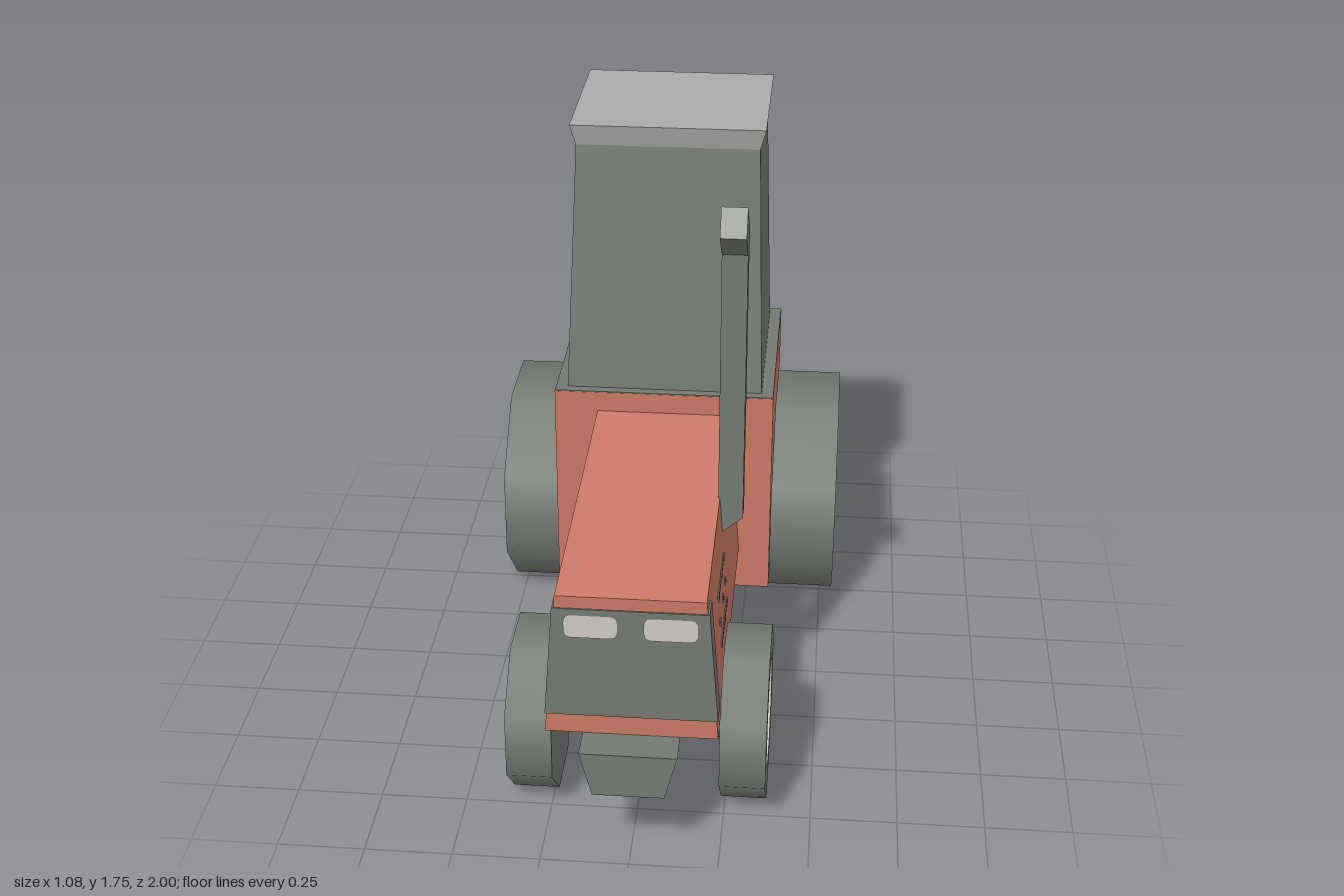
import * as THREE from 'three';

const mat = (name, color, side = THREE.FrontSide) => {
  const m = new THREE.MeshStandardMaterial({ color, side });
  m.name = name;
  return m;
};

export function createModel() {
  const model = new THREE.Group();
  model.name = 'tractor';
  const paint = mat('red paint', 0xcb7865);
  const dark = mat('dark grey', 0x747972);
  const roofGrey = mat('roof grey', 0xaaaaa8);
  const pale = mat('pale metal', 0xd0cac6, THREE.DoubleSide);

  const add = (name, geometry, material, parent = model) => {
    const mesh = new THREE.Mesh(geometry, material);
    mesh.name = name;
    parent.add(mesh);
    return mesh;
  };

  // Tapered block: each end is [halfWidth, zBack, zFront, yBack, yFront]
  const block = (bottom, top) => {
    const g = new THREE.BoxGeometry(2, 2, 2);
    const p = g.attributes.position;
    for (let i = 0; i < p.count; i++) {
      const [hw, zb, zf, yb, yf = yb] = p.getY(i) > 0 ? top : bottom;
      const front = p.getZ(i) > 0;
      p.setXYZ(i, p.getX(i) * hw, front ? yf : yb, front ? zf : zb);
    }
    g.computeVertexNormals();
    return g;
  };

  // Side profile of [z, y] points, extruded across x from x0 to x1
  const sideProfile = (points, x0, x1) => {
    const shape = new THREE.Shape(points.map(([z, y]) => new THREE.Vector2(-z, y)));
    const g = new THREE.ExtrudeGeometry(shape, { depth: x1 - x0, bevelEnabled: false });
    return g.rotateY(Math.PI / 2).translate(x0, 0, 0);
  };

  const roundedRect = (w, h, r) => {
    const s = new THREE.Shape();
    const x = w / 2, y = h / 2;
    s.moveTo(-x + r, -y).lineTo(x - r, -y).quadraticCurveTo(x, -y, x, -y + r)
      .lineTo(x, y - r).quadraticCurveTo(x, y, x - r, y)
      .lineTo(-x + r, y).quadraticCurveTo(-x, y, -x, y - r)
      .lineTo(-x, -y + r).quadraticCurveTo(-x, -y, -x + r, -y);
    return new THREE.ShapeGeometry(s, 4);
  };

  // Chassis and hood
  const hoodHalf = y => 0.24 - 0.035 * (y - 0.37) / 0.46;
  add('chassis', block([0.1, -0.8, 1, 0.235], [0.135, -0.8, 1, 0.37]), dark);
  add('hood', block([0.24, -0.12, 0.9, 0.37], [0.205, -0.12, 0.9, 0.845, 0.81]), paint);
  add('grille', block([hoodHalf(0.43) + 0.004, 0.825, 0.904, 0.43],
    [hoodHalf(0.773) + 0.004, 0.825, 0.904, 0.773]), dark);
  for (const s of [-1, 1]) {
    add('headlight', roundedRect(0.146, 0.07, 0.022), pale).position.set(s * 0.109, 0.72, 0.907);
    // Side vents: thin slots with small knobs
    for (const y of [0.655, 0.575, 0.505]) {
      const vent = new THREE.Group();
      vent.name = 'hoodVent';
      vent.position.set(s * (hoodHalf(y) + 0.001), y, 0.52);
      vent.rotation.z = s * 0.076;
      model.add(vent);
      if (y !== 0.575) add('slot', new THREE.BoxGeometry(0.005, 0.008, 0.22), dark, vent);
      for (const z of [-0.115, -0.02, 0.105]) {
        add('knob', new THREE.BoxGeometry(0.006, 0.018, 0.022), dark, vent).position.z = z;
      }
    }
  }

  // Cab body, ledge, glazed tower and flared roof
  add('cabBody', sideProfile([[-0.12, 0.235], [-0.12, 0.908], [-0.79, 0.908], [-0.79, 0.71],
    [-0.46, 0.71], [-0.215, 0.47], [-0.215, 0.235]].reverse(), -0.337, 0.337), paint);
  add('cabLedge', new THREE.BoxGeometry(0.672, 0.004, 0.668), dark).position.set(0, 0.909, -0.455);
  add('cabWindows', block([0.3, -0.76, -0.15, 0.91], [0.275, -0.76, -0.26, 1.66]), dark);
  add('roof', block([0.275, -0.76, -0.26, 1.66], [0.292, -0.777, -0.245, 1.725]), roofGrey);

  // Rear housing with narrower foot and lamps
  add('rearHousing', block([0.235, -0.895, -0.42, 0.5], [0.205, -0.895, -0.42, 0.842]), dark);
  add('rearHousingFoot', block([0.13, -0.895, -0.42, 0.26], [0.17, -0.895, -0.42, 0.5]), dark);
  for (const [x, y, w, h] of [[0, 0.785, 0.11, 0.06], [-0.17, 0.62, 0.04, 0.09], [0.17, 0.62, 0.04, 0.09]]) {
    const lamp = add('rearLamp', roundedRect(w, h, 0.018), pale);
    lamp.position.set(x, y, -0.899);
    lamp.rotation.y = Math.PI;
  }

  // Exhaust with bent tip; its foot slants up on the outside
  const pipe = sideProfile([[0.365, 0.705], [0.3, 0.705], [0.3, 1.64], [0.42, 1.745],
    [0.472, 1.675], [0.365, 1.585]], 0.2, 0.272);
  const pp = pipe.attributes.position;
  for (let i = 0; i < pp.count; i++) {
    if (pp.getY(i) < 0.8 && pp.getX(i) > 0.25) pp.setY(i, 0.765);
  }
  pipe.computeVertexNormals();
  add('exhaustPipe', pipe, dark);

  // Eight-sided wheel whose outer face looks along +z
  const K = 1 / Math.cos(Math.PI / 8), T = Math.PI / 8;
  const tube = (a, w) => new THREE.CylinderGeometry(a * K, a * K, w, 8, 1, true, T).rotateX(Math.PI / 2);
  const makeWheel = (name, a, rim, width, depth) => {
    const wheel = new THREE.Group();
    wheel.name = name;
    const h = width / 2;
    add('tread', tube(a, width), dark, wheel);
    add('outerSidewall', new THREE.RingGeometry(rim * K, a * K, 8, 1, T), dark, wheel).position.z = h;
    const inner = add('innerSidewall', new THREE.CircleGeometry(a * K, 8, T), dark, wheel);
    inner.rotation.y = Math.PI;
    inner.position.z = -h;
    add('rimWall', tube(rim, depth), pale, wheel).position.z = h - depth / 2;
    add('rimDisc', new THREE.CircleGeometry(rim * K, 8, T), pale, wheel).position.z = h - depth;
    const z = h - depth + 0.004;
    add('hub', new THREE.CircleGeometry(rim * 0.18, 12), dark, wheel).position.z = z;
    for (let i = 0; i < 8; i++) {
      const t = i * Math.PI / 4;
      const hole = add('rimHole', roundedRect(rim * 0.2, rim * 0.35, rim * 0.07), dark, wheel);
      hole.position.set(Math.cos(t) * rim * 0.69, Math.sin(t) * rim * 0.69, z);
      hole.rotation.z = t;
    }
    return wheel;
  };

  for (const s of [-1, 1]) {
    const front = makeWheel('frontWheel', 0.238, 0.155, 0.132, 0.07);
    front.position.set(s * 0.304, 0.238, 0.57);
    const rear = makeWheel('rearWheel', 0.338, 0.222, 0.235, 0.12);
    rear.position.set(s * 0.424, 0.338, -0.662);
    for (const w of [front, rear]) {
      w.rotation.y = s * Math.PI / 2;
      model.add(w);
    }
  }

  // Axles
  const axle = (name, y, z, length) => add(name,
    new THREE.CylinderGeometry(0.05, 0.05, length, 8).rotateZ(Math.PI / 2), dark).position.set(0, y, z);
  axle('frontAxle', 0.2, 0.57, 0.5);
  axle('rearAxle', 0.3, -0.66, 0.64);

  return model;
}
